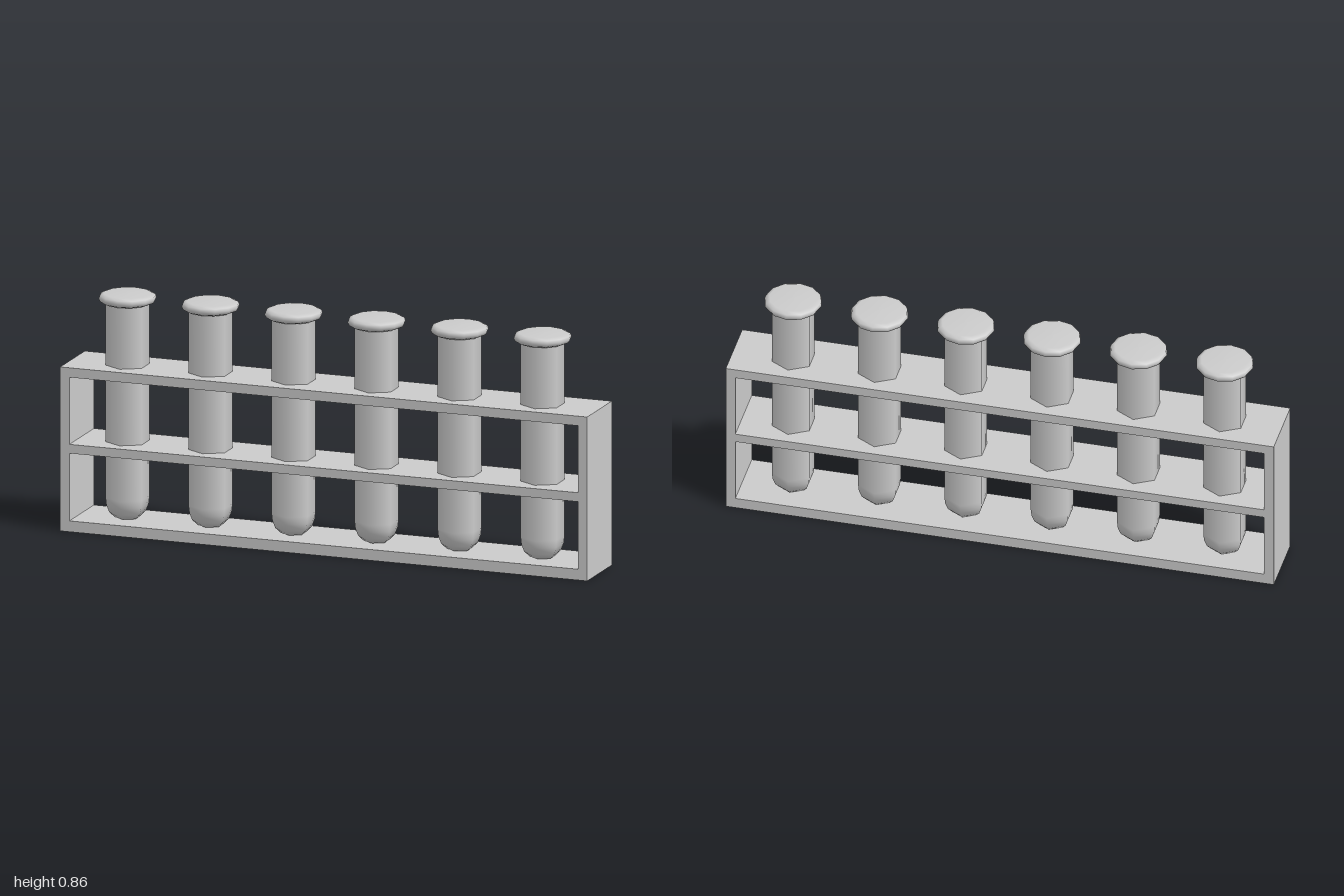
import * as THREE from 'three';

const material = new THREE.MeshStandardMaterial({ color: 0xcccccc });

function lathe(name, profile, sides) {
  const points = profile.map(([r, y]) => new THREE.Vector2(r, y));
  const mesh = new THREE.Mesh(new THREE.LatheGeometry(points, sides), material);
  mesh.name = name;
  return mesh;
}

function rectangle(Type, x0, y0, x1, y1) {
  return new Type([[x0, y0], [x1, y0], [x1, y1], [x0, y1]].map(([x, y]) => new THREE.Vector2(x, y)));
}

export function createModel() {
  const model = new THREE.Group();
  model.name = 'testTubeRack';

  // Rack: one frame with two openings, leaving three shelves and two end walls
  const depth = 0.244;
  const outline = rectangle(THREE.Shape, -1, 0, 1, 0.6);
  outline.holes.push(
    rectangle(THREE.Path, -0.965, 0.04, 0.965, 0.287),
    rectangle(THREE.Path, -0.965, 0.32, 0.965, 0.565)
  );
  const frame = new THREE.ExtrudeGeometry(outline, { depth, bevelEnabled: false });
  frame.translate(0, 0, -depth / 2);
  const rack = new THREE.Mesh(frame, material);
  rack.name = 'rack';
  model.add(rack);

  // Tubes: six-sided with a rounded bottom, each closed by a rounded cap
  const tubeProfile = [[0, 0.038], [0.045, 0.042], [0.066, 0.062], [0.076, 0.088], [0.079, 0.115], [0.079, 0.84]];
  const capProfile = [
    [0, 0.825], [0.083, 0.825], [0.098, 0.832], [0.104, 0.843],
    [0.1, 0.854], [0.085, 0.861], [0, 0.862]
  ];
  for (let i = 0; i < 6; i++) {
    const tube = new THREE.Group();
    tube.name = 'testTube' + (i + 1);
    tube.add(lathe('glass', tubeProfile, 6), lathe('cap', capProfile, 12));
    tube.position.x = -0.791 + i * 0.315;
    model.add(tube);
  }
  return model;
}
